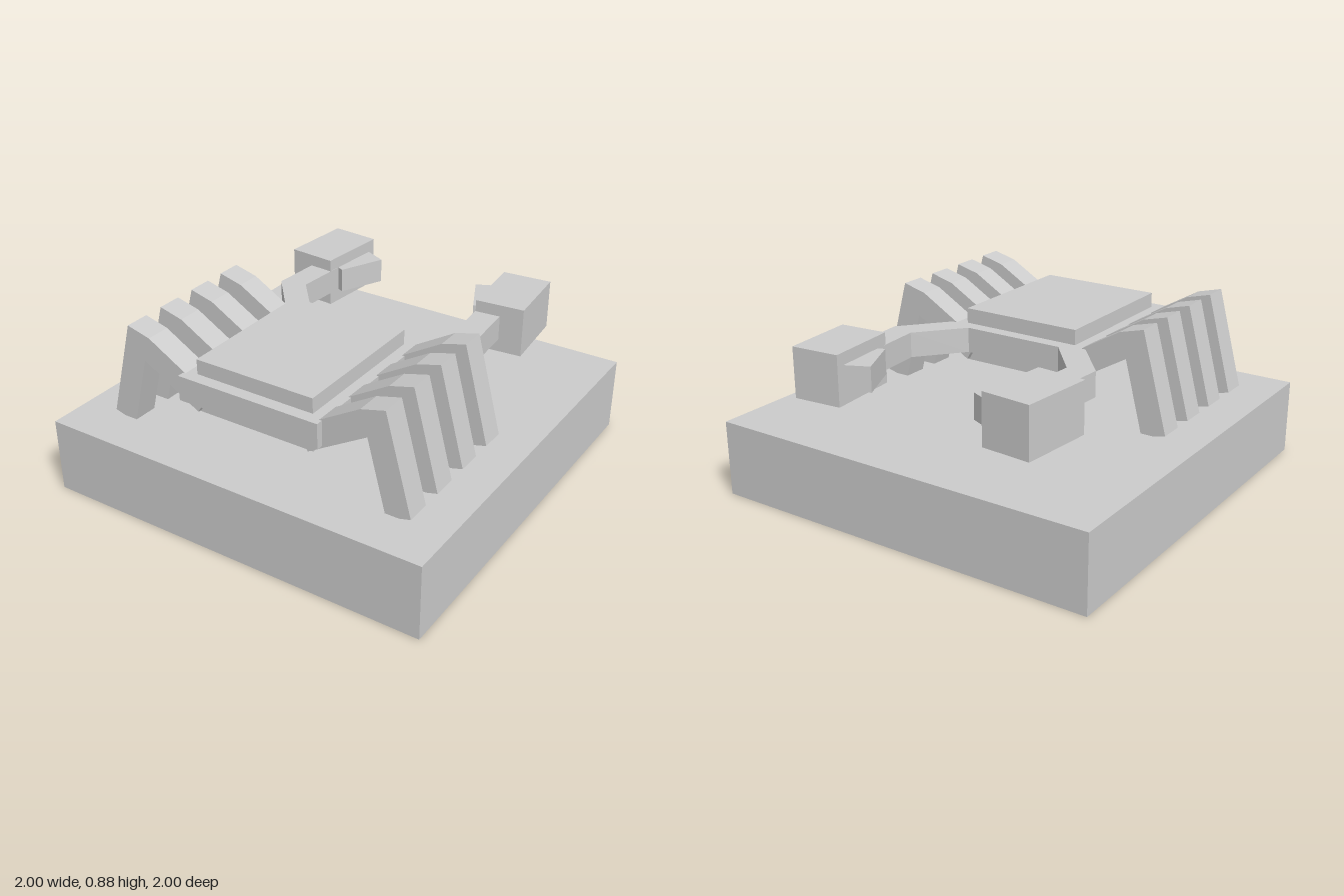
import * as THREE from 'three';

const material = new THREE.MeshStandardMaterial({ color: 0xcccccc, flatShading: true });

function box(name, w, h, d, x, y, z) {
  const mesh = new THREE.Mesh(new THREE.BoxGeometry(w, h, d), material);
  mesh.name = name;
  mesh.position.set(x, y, z);
  return mesh;
}

// Extrudes an outline along +z, mirrored in x when side is -1.
function prism(outline, depth, side) {
  const shape = new THREE.Shape(outline.map(([x, y]) => new THREE.Vector2(x * side, y)));
  return new THREE.ExtrudeGeometry(shape, { depth, bevelEnabled: false });
}

// Prism whose outline lies in the xz plane, between heights y0 and y1.
function plate(name, outline, y0, y1, side) {
  const geometry = prism(outline, y1 - y0, side).rotateX(Math.PI / 2).translate(0, y1, 0);
  const mesh = new THREE.Mesh(geometry, material);
  mesh.name = name;
  return mesh;
}

// Bent leg, seen from the front
const LEG = [[0.238, 0.653], [0.564, 0.843], [0.686, 0.875], [0.816, 0.39],
  [0.694, 0.358], [0.6, 0.72], [0.3, 0.545]];
// Bent arm, claw and finger, seen from above
const ARM = [[0.28, 0.1], [0.575, -0.25], [0.55, -0.6], [0.42, -0.6],
  [0.445, -0.285], [0.26, -0.065], [0.2, 0.02]];
const CLAW = [[0.43, -0.49], [0.677, -0.511], [0.644, -0.883], [0.395, -0.862]];
const FINGER = [[0.285, -0.765], [0.39, -0.54], [0.503, -0.593], [0.398, -0.818]];

export function createModel() {
  const model = new THREE.Group();
  model.name = 'crab';

  // Plinth and layered body
  model.add(
    box('base', 2, 0.375, 2, 0, 0.1875, 0),
    box('body', 0.75, 0.125, 0.875, 0, 0.6625, 0.3725),
    box('shell', 0.625, 0.265, 0.75, 0, 0.6675, 0.375),
  );

  for (const side of [1, -1]) {
    const label = side > 0 ? 'left' : 'right';

    // Four legs on each side
    for (let i = 0; i < 4; i++) {
      const leg = new THREE.Mesh(prism(LEG, 0.125, side), material);
      leg.name = `${label}Leg${i + 1}`;
      leg.position.z = -0.025 + i * 0.225;
      model.add(leg);
    }

    // Arm with its pincer
    const arm = new THREE.Group();
    arm.name = `${label}Arm`;
    arm.add(
      plate('armBar', ARM, 0.6, 0.725, side),
      plate('claw', CLAW, 0.535, 0.785, side),
      plate('finger', FINGER, 0.6, 0.725, side),
    );
    model.add(arm);
  }
  return model;
}
